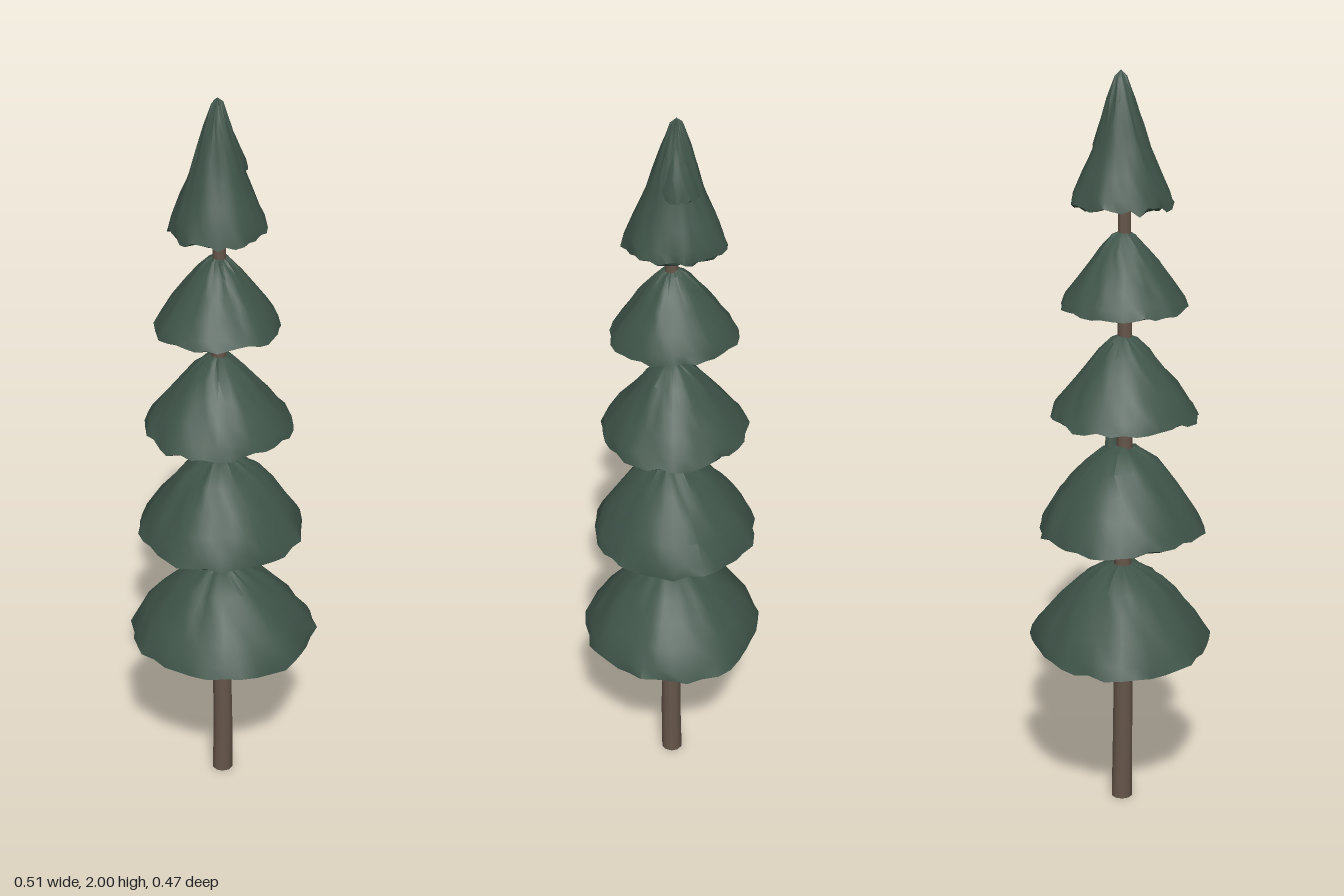
import * as THREE from 'three';
import { mergeVertices, toCreasedNormals } from 'three/addons/utils/BufferGeometryUtils.js';

const needles = new THREE.MeshStandardMaterial({ color: 0x3f5449 });
needles.name = 'dark green needles';
const bark = new THREE.MeshStandardMaterial({ color: 0x66564a });
bark.name = 'brown bark';

// Repeatable roughness in -1..1
const rough = (i, j, seed) => {
  const s = Math.sin(i * 12.9898 + j * 78.233 + seed * 37.719) * 43758.5453;
  return 2 * (s - Math.floor(s)) - 1;
};

function smoothWithCreases(geometry, crease) {
  geometry.deleteAttribute('uv');
  geometry.deleteAttribute('normal');
  const merged = mergeVertices(geometry, 1e-4);
  merged.computeVertexNormals();
  return toCreasedNormals(merged, crease);
}

// Shaggy hollow-bottomed skirt; profile runs from the hollow, round the rim, to the tip
function skirt({ name, y, h, rx, rz, x, z, tipX, tipZ, profile }, seed) {
  const sides = 36;
  const hollow = [[0, 0.17], [0.4, 0.14], [0.72, 0.07], [0.93, 0.02]];
  const rows = [...hollow, ...profile];
  const geometry = new THREE.LatheGeometry(rows.map(([r, v]) => new THREE.Vector2(r, v)), sides);
  const p = geometry.attributes.position;
  for (let k = 0; k < p.count; k++) {
    const row = k % rows.length;
    const side = Math.floor(k / rows.length) % sides;
    const [r, v] = rows[row];
    const a = (side / sides) * Math.PI * 2;
    const rim = row === 4 ? 1 : 0;
    // Broad lobes plus fine ragged tufts
    const lobes = 0.018 * Math.sin(3 * a + seed) + 0.015 * Math.sin(7 * a + seed * 2.3);
    const radius = r === 0 ? 0 : r * (1 + lobes + (rim ? 0.035 : 0.025) * rough(side, row, seed));
    const lift = r === 0 ? 0 : (rim ? 0.035 : 0.02) * rough(side, row + 20, seed);
    const t = Math.max(0, v);
    p.setXYZ(k,
      x + (tipX - x) * t + Math.sin(a) * radius * rx,
      y + h * (v + lift),
      z + (tipZ - z) * t + Math.cos(a) * radius * rz);
  }
  const mesh = new THREE.Mesh(smoothWithCreases(geometry, 0.75), needles);
  mesh.name = name;
  return mesh;
}

// Trunk that tapers and leans slightly
function trunk() {
  const geometry = new THREE.CylinderGeometry(0.016, 0.029, 1.8, 10, 12);
  const p = geometry.attributes.position;
  for (let k = 0; k < p.count; k++) {
    const y = p.getY(k) + 0.9;
    const t = y / 1.8;
    p.setXYZ(k,
      p.getX(k) - 0.004 - 0.011 * t + 0.002 * Math.sin(y * 9),
      y,
      p.getZ(k) + 0.006 + 0.007 * t + 0.002 * Math.sin(y * 7));
  }
  const mesh = new THREE.Mesh(smoothWithCreases(geometry, 0.8), bark);
  mesh.name = 'trunk';
  return mesh;
}

export function createModel() {
  const tree = new THREE.Group();
  tree.name = 'tiered fir tree';
  tree.add(trunk());

  // Radius and height fractions from rim to tip
  const dome = [[1, 0.02], [0.95, 0.15], [0.82, 0.34], [0.65, 0.56], [0.46, 0.76], [0.23, 0.92], [0, 1]];
  const tent = [[1, 0.02], [0.93, 0.14], [0.76, 0.34], [0.56, 0.56], [0.37, 0.76], [0.19, 0.91], [0, 1]];
  const spire = [[1, 0.02], [0.93, 0.11], [0.76, 0.26], [0.56, 0.44], [0.43, 0.6], [0.28, 0.78], [0.12, 0.95], [0, 1]];
  const tiers = [
    { y: 0.46, h: 0.24, rx: 0.253, rz: 0.238, x: 0, z: 0, tipX: -0.005, tipZ: 0.005, profile: dome },
    { y: 0.79, h: 0.24, rx: 0.22, rz: 0.217, x: -0.008, z: 0, tipX: -0.005, tipZ: 0.005, profile: dome },
    { y: 1.11, h: 0.22, rx: 0.193, rz: 0.191, x: -0.017, z: 0.006, tipX: -0.014, tipZ: 0.008, profile: tent },
    { y: 1.4, h: 0.2, rx: 0.16, rz: 0.163, x: -0.017, z: 0.007, tipX: -0.014, tipZ: 0.008, profile: tent },
    { y: 1.66, h: 0.34, rx: 0.122, rz: 0.13, x: -0.015, z: 0.004, tipX: -0.016, tipZ: 0, profile: spire },
  ];
  tiers.forEach((tier, i) => tree.add(skirt({ name: `foliageTier${i + 1}`, ...tier }, i + 1)));

  // Overlapping hood at the back of the crown
  tree.add(skirt({
    name: 'crownHood', y: 1.81, h: 0.17, rx: 0.064, rz: 0.056,
    x: -0.006, z: -0.012, tipX: -0.015, tipZ: -0.002, profile: tent,
  }, 9));

  // Stray sprig beside the trunk between the second and third tiers
  const sprig = new THREE.Mesh(new THREE.ConeGeometry(0.026, 0.2, 6), needles);
  sprig.name = 'straySprig';
  sprig.position.set(0.025, 1.07, -0.013);
  sprig.rotation.z = -0.12;
  tree.add(sprig);

  return tree;
}
